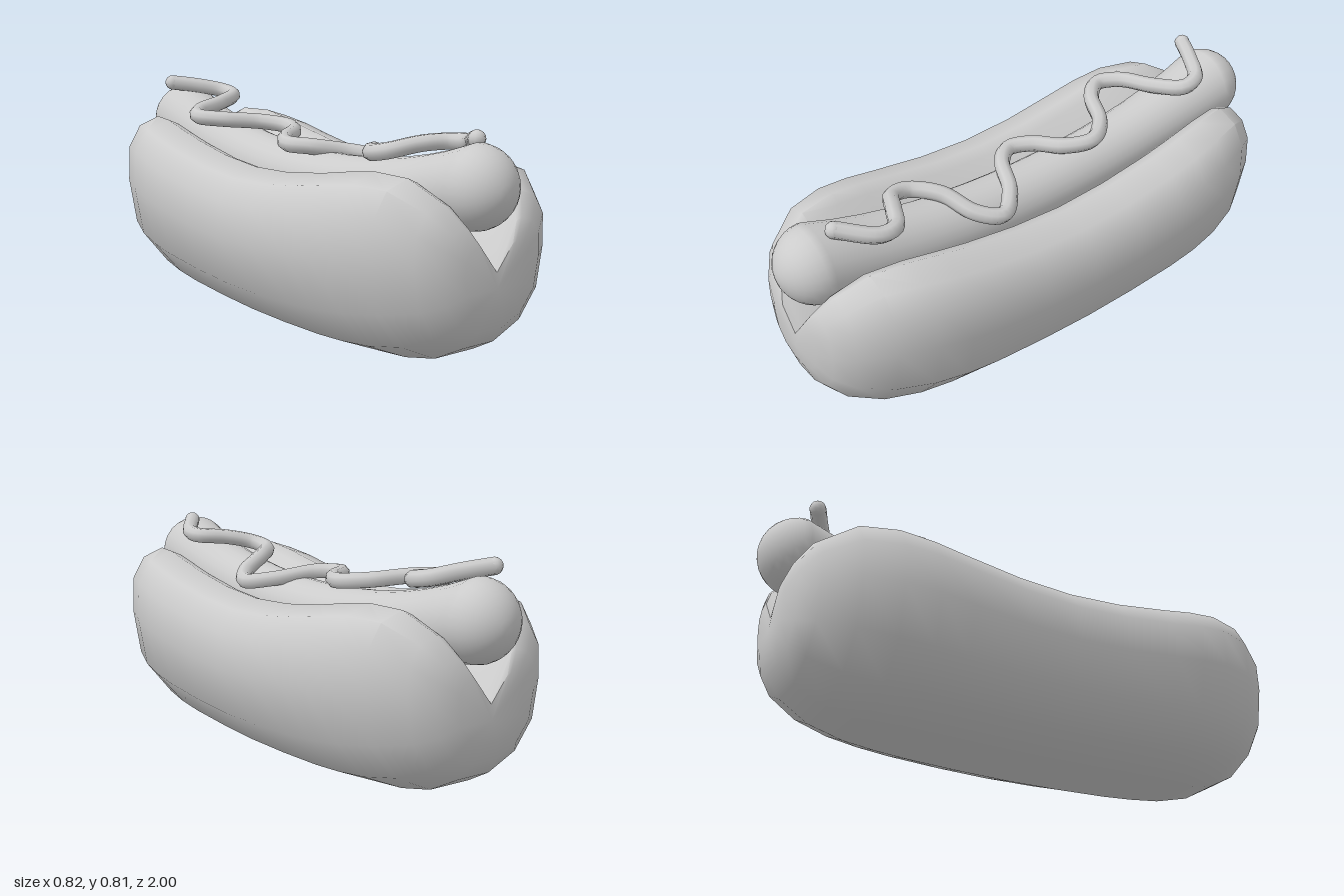
import * as THREE from 'three';
import { toCreasedNormals } from 'three/addons/utils/BufferGeometryUtils.js';

const material = new THREE.MeshStandardMaterial({ color: 0xcccccc });

// Skin over rings of [x, y, z] points (counter-clockwise seen from +z, back to front),
// closed at each end by a fan around a tip point.
function loft(rings, backTip, frontTip) {
  const n = rings[0].length;
  const last = (rings.length - 1) * n;
  const back = rings.length * n;
  const front = back + 1;
  const index = [];
  for (let j = 0; j < n; j++) {
    const k = (j + 1) % n;
    for (let i = 0; i < last; i += n) {
      index.push(i + j, i + k, i + n + k, i + j, i + n + k, i + n + j);
    }
    index.push(back, k, j, front, last + j, last + k);
  }
  const geometry = new THREE.BufferGeometry();
  const points = [...rings.flat(), backTip, frontTip].flat();
  geometry.setAttribute('position', new THREE.Float32BufferAttribute(points, 3));
  geometry.setIndex(index);
  geometry.computeVertexNormals();
  return geometry;
}

function addMesh(group, name, geometry) {
  const mesh = new THREE.Mesh(geometry, material);
  mesh.name = name;
  group.add(mesh);
  return mesh;
}

// Bun: one split cross-section, resized along z
function bunGeometry() {
  // right half of the section, x by half width and y by height
  const half = [[0.24, 0], [0.65, 0.11], [0.915, 0.31], [1, 0.6], [0.98, 0.82],
    [0.84, 0.95], [0.6, 1], [0.49, 0.97]];
  const section = [...half, [0, 0.58], ...half.map(([x, y]) => [-x, y]).reverse()];
  // z, half width, bottom, top
  const stations = [
    [0, 0.41, 0, 0.578], [0.2, 0.41, 0.003, 0.59], [0.4, 0.41, 0.01, 0.62],
    [0.52, 0.405, 0.018, 0.643], [0.64, 0.386, 0.03, 0.662], [0.77, 0.342, 0.06, 0.658],
    [0.88, 0.27, 0.12, 0.595], [0.93, 0.2, 0.18, 0.525], [0.953, 0.13, 0.25, 0.46],
  ];
  const mirrored = stations.slice(1).reverse().map(([z, ...rest]) => [-z, ...rest]);
  const rings = [...mirrored, ...stations].map(([z, w, bottom, top]) =>
    section.map(([x, y]) => [x * w, bottom + y * (top - bottom), z + 0.015]));
  return toCreasedNormals(loft(rings, [0, 0.32, -0.943], [0, 0.32, 0.973]), 0.8);
}

// Sausage: sagging round bar with ball ends
function sausageGeometry() {
  const sides = 24, ballZ = 0.862, ballR = 0.138;
  const centreY = (z) => 0.5 + 0.12 * Math.min(1, (z / ballZ) ** 2);
  const profile = [];
  for (let i = 1; i <= 8; i++) {
    const a = (i / 8) * Math.PI / 2;
    profile.push([-ballZ - ballR * Math.cos(a), ballR * Math.sin(a)]);
  }
  for (let i = 1; i < 16; i++) {
    const t = -1 + i / 8;
    profile.push([t * ballZ, 0.116 + (ballR - 0.116) * t ** 4]);
  }
  for (let i = 7; i >= 0; i--) profile.push([-profile[i][0], profile[i][1]]);
  const rings = profile.map(([z, r]) => Array.from({ length: sides }, (_, j) => {
    const a = (j / sides) * Math.PI * 2;
    return [r * Math.cos(a), centreY(z) + r * Math.sin(a), z];
  }));
  return loft(rings, [0, 0.62, -1], [0, 0.62, 1]);
}

// Sauce: wavy tube with rounded tips
function addSauce(group) {
  const radius = 0.029;
  const path = new THREE.CatmullRomCurve3([
    [-0.09, 0.776, -0.835], [0, 0.762, -0.79], [0.085, 0.742, -0.735], [0.095, 0.73, -0.67],
    [0, 0.715, -0.605], [-0.13, 0.698, -0.555], [-0.178, 0.688, -0.485],
    [-0.12, 0.682, -0.405], [0.01, 0.67, -0.335], [0.07, 0.66, -0.245],
    [0.03, 0.654, -0.15], [-0.06, 0.648, -0.075], [-0.098, 0.642, 0],
    [-0.05, 0.638, 0.07], [0.08, 0.615, 0.135], [0.157, 0.6, 0.225],
    [0.11, 0.62, 0.305], [0, 0.662, 0.365], [-0.077, 0.675, 0.45], [-0.065, 0.69, 0.52],
    [0.03, 0.712, 0.575], [0.115, 0.718, 0.625], [0.125, 0.724, 0.69], [0.05, 0.757, 0.81],
  ].map((p) => new THREE.Vector3(...p)));
  addMesh(group, 'sauceLine', new THREE.TubeGeometry(path, 140, radius, 8));
  for (const t of [0, 1]) {
    const tip = addMesh(group, 'sauceTip', new THREE.SphereGeometry(radius, 10, 8));
    tip.position.copy(path.getPointAt(t));
  }
}

export function createModel() {
  const model = new THREE.Group();
  model.name = 'hotDog';
  addMesh(model, 'bun', bunGeometry());
  addMesh(model, 'sausage', sausageGeometry());
  const sauce = new THREE.Group();
  sauce.name = 'sauce';
  addSauce(sauce);
  model.add(sauce);
  return model;
}
